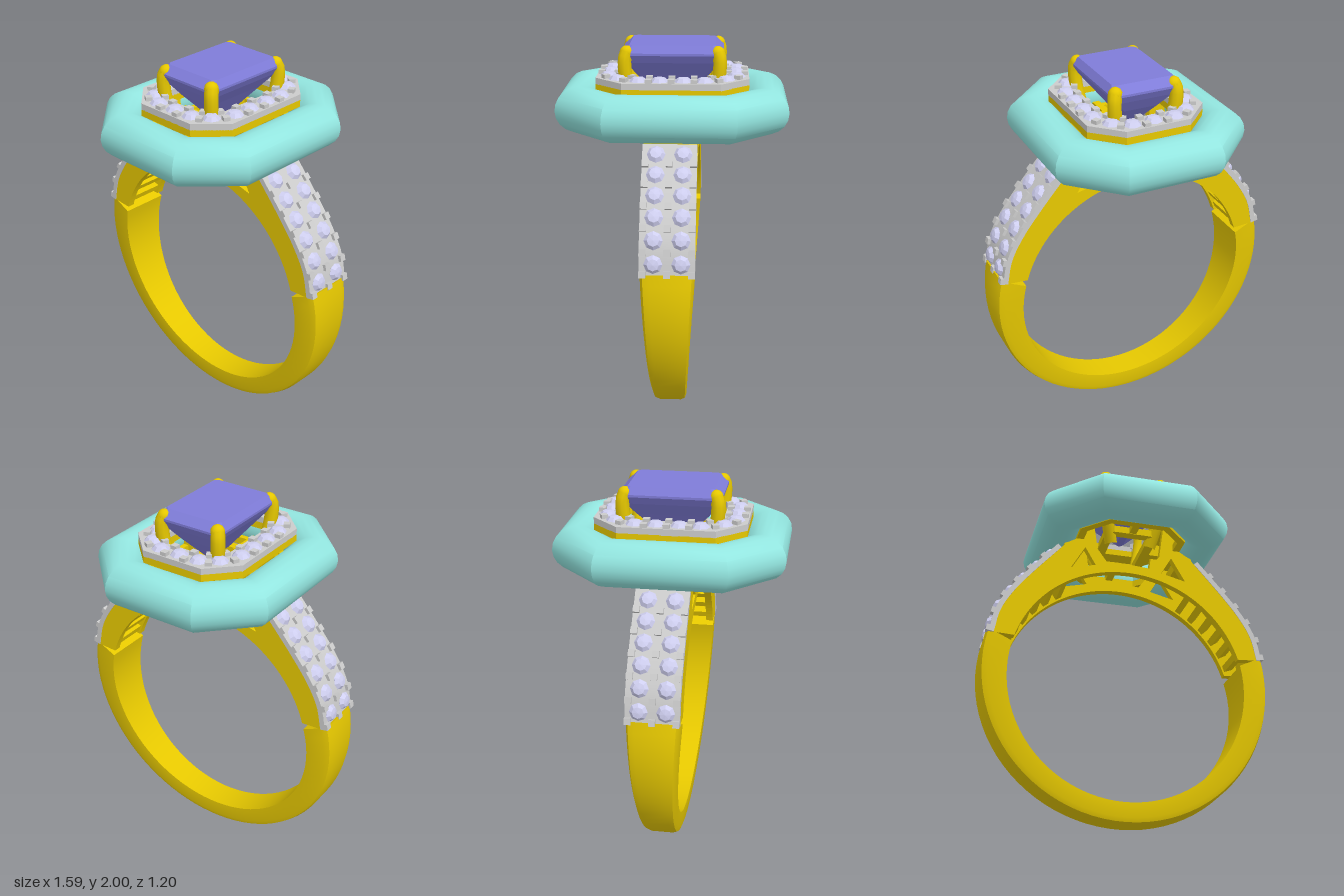
import * as THREE from 'three';
import { toCreasedNormals } from 'three/addons/utils/BufferGeometryUtils.js';

const mat = (color, flatShading = false) => new THREE.MeshStandardMaterial({ color, flatShading });
const gold = mat(0xe6c800), grey = mat(0xcccccc), turquoise = mat(0x93e6e0);
const paleGem = mat(0xcfcff0, true), blueGem = mat(0x7f7cd8, true);
const V = (x, y, z) => new THREE.Vector3(x, y, z);

function add(parent, name, geometry, material, x = 0, y = 0, z = 0) {
  const m = new THREE.Mesh(geometry, material);
  m.name = name;
  m.position.set(x, y, z);
  parent.add(m);
  return m;
}

// Skin between equal-length loops of points; either capped or joined end to end
function loft(loops, closed, crease = 0.6) {
  const tris = [], n = loops[0].length, last = loops.length - 1;
  for (let i = 0; i < (closed ? last + 1 : last); i++) {
    const A = loops[i], B = loops[(i + 1) % loops.length];
    for (let j = 0; j < n; j++) {
      const k = (j + 1) % n;
      tris.push([A[j], A[k], B[k]], [A[j], B[k], B[j]]);
    }
  }
  if (!closed) for (let j = 1; j < n - 1; j++) {
    tris.push([loops[0][0], loops[0][j + 1], loops[0][j]]);
    tris.push([loops[last][0], loops[last][j], loops[last][j + 1]]);
  }
  // a negative volume means the faces look inward
  const volume = tris.reduce((s, [a, b, c]) => s + a.dot(b.clone().cross(c)), 0);
  if (volume < 0) tris.forEach(t => t.reverse());
  const g = new THREE.BufferGeometry().setFromPoints(tris.flat());
  g.computeVertexNormals();
  return toCreasedNormals(g, crease);
}

// Rectangle with cut corners; S is x + z along the cut
const cutRect = (X, Z, S, y) => [[X, S - X], [S - Z, Z], [Z - S, Z], [-X, S - X],
  [-X, X - S], [Z - S, -Z], [S - Z, -Z], [X, X - S]].map(([x, z]) => V(x, y, z));
// Head outline, moved inward by d
const outline = (d, y) => cutRect(0.525 - d, 0.6 - d, 0.86 - Math.SQRT2 * d, y);
const frame = (d0, d1, y0, y1) =>
  loft([outline(d0, y0), outline(d0, y1), outline(d1, y1), outline(d1, y0)], true);

// Small round stone with its girdle at y = 0
const stoneGeo = new THREE.LatheGeometry(
  [[0, -0.035], [0.047, 0], [0.03, 0.019], [0, 0.023]].map(p => new THREE.Vector2(...p)), 8);
const beadGeo = new THREE.BoxGeometry(0.034, 0.03, 0.034);

const CY = 0.765, RI = 0.655;           // finger hole
const shoulder = new THREE.CatmullRomCurve3([[0.735, 0.965], [0.705, 1.1], [0.64, 1.22],
  [0.54, 1.35], [0.385, 1.53]].map(([x, y]) => V(x, y, 0)));
const outward = u => { const t = shoulder.getTangent(u); return V(t.y, -t.x, 0); };

// Strip following the shoulder curve, between two offsets
function strip(o0, o1, halfZ) {
  const loops = [];
  for (let i = 0; i <= 14; i++) {
    const p = shoulder.getPoint(i / 14), n = outward(i / 14);
    const a = p.clone().addScaledVector(n, o0), b = p.clone().addScaledVector(n, o1);
    loops.push([V(a.x, a.y, -halfZ), V(b.x, b.y, -halfZ), V(b.x, b.y, halfZ), V(a.x, a.y, halfZ)]);
  }
  return loft(loops, false);
}

// Lower band, narrower toward the bottom
function shankGeometry() {
  const loops = [], N = 48, start = 0.245;
  for (let i = 0; i <= N; i++) {
    const a = start - (Math.PI + 2 * start) * i / N, c = Math.cos(a), s = Math.sin(a);
    const ro = 0.795, y = 0.795 + ro * s, w = 0.08 + 0.055 * Math.min(1, Math.max(0, y / 0.98));
    const profile = [[0, -1], [0.04, -1.0], [0.72, -1], [0.93, -0.9], [1, -0.65],
      [1, 0.65], [0.93, 0.9], [0.72, 1], [0.04, 1.0], [0, 1]];
    loops.push(profile.map(([t, z]) =>
      V(c * (RI + (ro - RI) * t), (CY + RI * s) * (1 - t) + y * t, z * w)));
  }
  return loft(loops, false);
}

// Side plate: shoulders, arch over the finger and struts up to the head
function cheekGeometry() {
  const right = [...shoulder.getPoints(12).map(p => [p.x, p.y]), [0.36, 1.56], [0.3, 1.6],
    [0.28, 1.77], [0.21, 1.77], [0.18, 1.55], [0.12, 1.465], [0, 1.475]];
  const left = right.slice(0, -1).reverse().map(([x, y]) => [-x, y]);
  const shape = new THREE.Shape([...right, ...left].map(p => new THREE.Vector2(...p)));
  shape.absarc(0, CY, RI, Math.PI - 0.3, 0.3, true);
  for (const s of [-1, 1]) {
    shape.holes.push(new THREE.Path([[0.25, 1.55], [0.33, 1.41], [0.19, 1.445]]
      .map(([x, y]) => new THREE.Vector2(s * x, y))));
  }
  return new THREE.ExtrudeGeometry(shape, { depth: 0.04, bevelEnabled: false, curveSegments: 32 });
}

// One shoulder with two rows of stones
function makeShoulder() {
  const g = new THREE.Group();
  g.name = 'shoulder';
  add(g, 'stoneFloor', strip(-0.025, 0.002, 0.13), gold);
  add(g, 'paveBed', strip(0, 0.028, 0.138), grey);
  const place = (name, geo, m, u, lift, z) => {
    const n = outward(u), p = shoulder.getPointAt(u).addScaledVector(n, lift);
    add(g, name, geo, m, p.x, p.y, z).rotation.z = -Math.atan2(n.x, n.y);
  };
  for (let i = 0; i < 6; i++) {
    const u = 0.1 + i * 0.163;
    for (const z of [-0.068, 0.068]) place('shoulderStone', stoneGeo, paleGem, u, 0.03, z);
    for (const z of [-0.121, 0, 0.121]) place('bead', beadGeo, grey, Math.max(0.025, u - 0.081), 0.03, z);
  }
  // Rungs joining the two side plates
  const rung = new THREE.BoxGeometry(0.05, 0.035, 0.21);
  for (let i = 0; i < 6; i++) {
    const a = 0.36 + i * 0.13;
    add(g, 'rung', rung, gold, Math.cos(a) * 0.69, CY + Math.sin(a) * 0.69, 0).rotation.z = a;
  }
  add(g, 'topBlock', new THREE.BoxGeometry(0.08, 0.06, 0.268), gold, 0.33, 1.55, 0);
  return g;
}

// Claw holding the centre stone
function clawGeometry(sx, sz) {
  const path = new THREE.CatmullRomCurve3([[0.11, 1.58, 0.16], [0.15, 1.74, 0.22],
    [0.168, 1.86, 0.242], [0.168, 1.94, 0.242], [0.16, 1.965, 0.232]]
    .map(([x, y, z]) => V(sx * x, y, sz * z)));
  return new THREE.TubeGeometry(path, 16, 0.036, 10);
}

export function createModel() {
  const model = new THREE.Group();
  model.name = 'ring';

  add(model, 'shank', shankGeometry(), gold);
  const cheek = cheekGeometry();
  for (const z of [-0.135, 0.095]) add(model, 'sidePlate', cheek, gold, 0, 0, z);
  const rightSide = makeShoulder(), leftSide = makeShoulder();
  leftSide.rotation.y = Math.PI;
  model.add(rightSide, leftSide);

  // Thick rounded collar around the head
  const loops = [];
  for (let i = 0; i < 20; i++) {
    const a = i / 20 * Math.PI * 2;
    loops.push(outline(0.12 - 0.12 * Math.cos(a), 1.675 + 0.12 * Math.sin(a)));
  }
  add(model, 'collar', loft(loops, true), turquoise);

  // Head: gold seat, gallery rings and grey stone bed
  add(model, 'haloSeat', frame(0.205, 0.335, 1.765, 1.802), gold);
  add(model, 'lowerGallery', frame(0.225, 0.265, 1.6, 1.64), gold);
  add(model, 'basketRing', frame(0.375, 0.425, 1.62, 1.66), gold);
  for (const s of [-1, 1]) {
    add(model, 'galleryBar', new THREE.BoxGeometry(0.2, 0.035, 0.04), gold, s * 0.2, 1.64, 0);
    add(model, 'galleryBar', new THREE.BoxGeometry(0.04, 0.035, 0.2), gold, 0, 1.64, s * 0.27);
  }
  add(model, 'haloBed', frame(0.205, 0.335, 1.8, 1.834), grey);

  // Halo stones, in order around the head, with beads between them
  const quarter = [[0.255, 0.06], [0.255, 0.168], [0.203, 0.277], [0.115, 0.33]];
  const flip = (list, sx, sz) => list.map(([x, z]) => [sx * x, sz * z]);
  const back = [...quarter].reverse();
  const spots = [...quarter, [0, 0.33], ...flip(back, -1, 1),
    ...flip(quarter, -1, -1), [0, -0.33], ...flip(back, 1, -1)];
  spots.forEach(([x, z], i) => {
    add(model, 'haloStone', stoneGeo, paleGem, x, 1.834, z);
    const [x2, z2] = spots[(i + 1) % spots.length], dir = Math.atan2(z2 - z, x2 - x);
    for (const r of [-0.042, 0.042]) {
      add(model, 'bead', beadGeo, grey, (x + x2) / 2 - Math.sin(dir) * r, 1.839,
        (z + z2) / 2 + Math.cos(dir) * r).rotation.y = -dir;
    }
  });

  // Step-cut centre stone: point, pavilion steps, girdle, crown, table
  const steps = [[0.02, 0.09, 1.72], [0.11, 0.19, 1.84], [0.165, 0.24, 1.91],
    [0.19, 0.264, 1.95], [0.19, 0.264, 1.962], [0.165, 0.22, 2.0]];
  add(model, 'centreStone',
    loft(steps.map(([x, z, y]) => cutRect(x, z, x + z - 0.018, y)), false, 0.05), blueGem);

  for (const sx of [-1, 1]) for (const sz of [-1, 1]) {
    add(model, 'claw', clawGeometry(sx, sz), gold);
    add(model, 'clawTip', new THREE.SphereGeometry(0.037, 12, 8), gold, sx * 0.16, 1.962, sz * 0.233);
  }
  return model;
}
